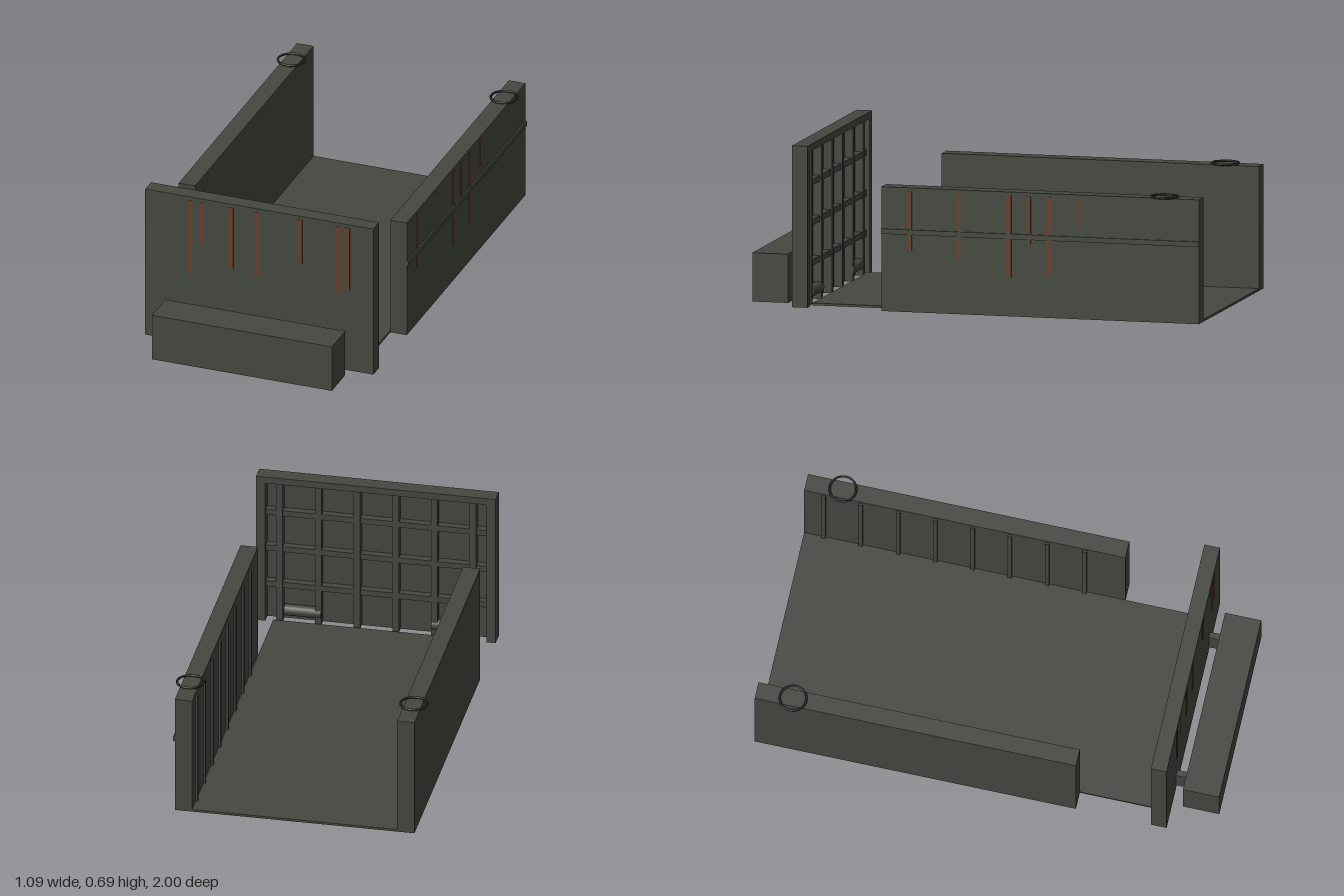
import * as THREE from 'three';

export function createModel() {
  const model = new THREE.Group();
  model.name = 'cargoBed';

  const material = (name, color) => {
    const m = new THREE.MeshStandardMaterial({ color });
    m.name = name;
    return m;
  };
  const steel = material('olive grey steel', 0x444840);
  const rust = material('rust', 0x653f29);
  const iron = material('dark iron', 0x20221f);

  const add = (name, geometry, mat, x, y, z, parent = model) => {
    const mesh = new THREE.Mesh(geometry, mat);
    mesh.name = name;
    mesh.position.set(x, y, z);
    parent.add(mesh);
    return mesh;
  };
  // Box given by its lower and upper limits on each axis
  const block = (name, [x0, x1], [y0, y1], [z0, z1], mat = steel, parent = model) =>
    add(name, new THREE.BoxGeometry(x1 - x0, y1 - y0, z1 - z0), mat,
      (x0 + x1) / 2, (y0 + y1) / 2, (z0 + z1) / 2, parent);

  // Floor and side walls
  block('floor', [-0.445, 0.445], [0, 0.01], [-1, 0.725]);
  block('leftWall', [0.445, 0.52], [0, 0.535], [-1, 0.4]);
  block('rightWall', [-0.52, -0.445], [0, 0.535], [-1, 0.4]);
  block('sideRail', [0.52, 0.527], [0.333, 0.355], [-1, 0.4]);

  // Upright ribs inside the left wall
  for (let i = 0; i < 8; i++) {
    const z = -0.915 + i * 0.1625;
    block('wallRib', [0.436, 0.446], [0.01, 0.52], [z - 0.009, z + 0.009]);
  }

  // Front panel: skin, rim and a grid of stiffeners open to the back
  const panel = new THREE.Group();
  panel.name = 'frontPanel';
  model.add(panel);
  block('panelSkin', [-0.52, 0.52], [0, 0.695], [0.772, 0.795], steel, panel);
  block('panelTop', [-0.52, 0.52], [0.665, 0.695], [0.727, 0.772], steel, panel);
  for (const s of [-1, 1]) {
    const x = s * 0.5;
    block('panelPost', [x - 0.02, x + 0.02], [0, 0.665], [0.727, 0.772], steel, panel);
  }
  for (let i = 0; i < 6; i++) {
    const x = -0.42 + i * 0.168;
    block('panelRib', [x - 0.014, x + 0.014], [0, 0.665], [0.735, 0.772], steel, panel);
  }
  for (const y of [0.174, 0.347, 0.52]) {
    block('panelCrossbar', [-0.48, 0.48], [y - 0.013, y + 0.013], [0.74, 0.772], steel, panel);
  }

  // Hinge barrels, bumper brackets and bumper
  for (const s of [-1, 1]) {
    const hinge = add('hingeBarrel', new THREE.CylinderGeometry(0.025, 0.025, 0.16, 16),
      steel, s * 0.32, 0.05, 0.753);
    hinge.rotation.z = Math.PI / 2;
    const x = s * 0.32;
    block('bumperBracket', [x - 0.013, x + 0.013], [0.03, 0.15], [0.79, 0.85]);
  }
  block('bumper', [-0.41, 0.41], [0, 0.21], [0.842, 1]);

  // Lifting rings lying on the wall tops
  for (const s of [-1, 1]) {
    const ring = add('liftingRing', new THREE.TorusGeometry(0.057, 0.005, 8, 32),
      iron, s * 0.485, 0.539, -0.84);
    ring.rotation.x = Math.PI / 2;
  }

  // Rust streaks on the front panel: x, lower end, width
  for (const [x, y, w] of [[-0.315, 0.33, 0.018], [-0.264, 0.487, 0.017], [-0.13, 0.39, 0.023],
    [-0.012, 0.37, 0.019], [0.185, 0.473, 0.023], [0.36, 0.355, 0.022], [0.401, 0.383, 0.023]]) {
    block('frontRustStreak', [x - w / 2, x + w / 2], [y, 0.678], [0.794, 0.797], rust);
  }
  // Rust streaks on the left wall: z, lower end, width
  for (const [z, y, w] of [[0.275, 0.265, 0.018], [0.06, 0.235, 0.018], [-0.16, 0.168, 0.026],
    [-0.25, 0.315, 0.018], [-0.34, 0.188, 0.024], [-0.472, 0.4, 0.011]]) {
    block('sideRustStreak', [0.519, 0.522], [y, 0.52], [z - w / 2, z + w / 2], rust);
  }

  return model;
}
